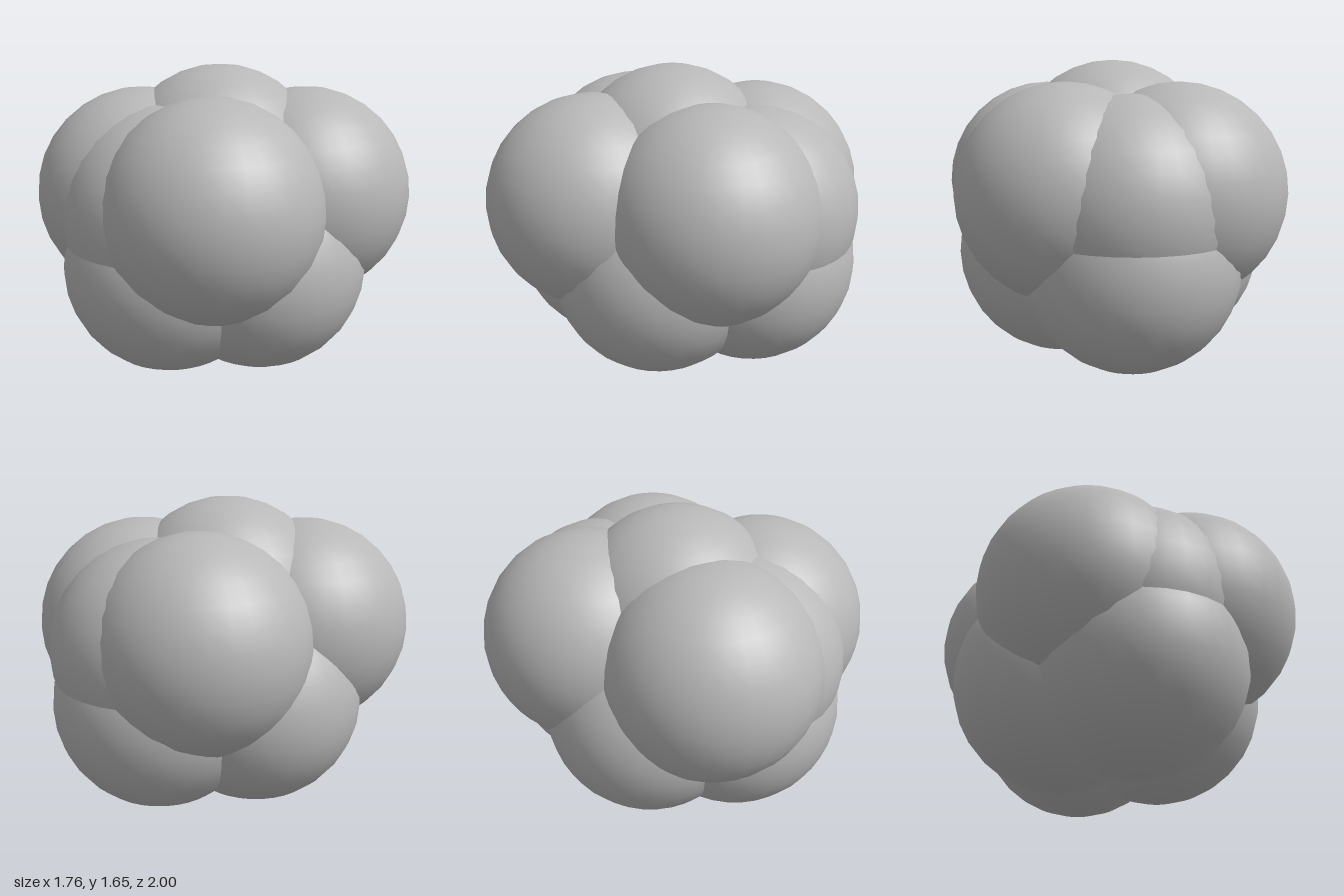
import * as THREE from 'three';

const RADIUS = 0.583;

// A cluster of equal, overlapping balls: [name, x, y, z]
const BALLS = [
  // lower ring
  ['lowerFrontBall', -0.03, 0.585, 0.415],
  ['lowerBackBall', -0.03, 0.585, -0.417],
  ['lowerLeftBall', 0.265, 0.585, 0.03],
  ['lowerRightBall', -0.3, 0.585, 0.03],
  // upper ring corners
  ['upperFrontLeftBall', 0.298, 0.945, 0.395],
  ['upperFrontRightBall', -0.298, 0.945, 0.395],
  ['upperBackLeftBall', 0.298, 0.945, -0.29],
  ['upperBackRightBall', -0.298, 0.945, -0.352],
  // upper ring middles
  ['upperFrontBall', -0.03, 0.885, 0.412],
  ['upperBackBall', -0.03, 0.885, -0.417],
  // crown
  ['topBall', -0.03, 1.067, 0.055],
];

export function createModel() {
  const group = new THREE.Group();
  group.name = 'ballCluster';
  const grey = new THREE.MeshStandardMaterial({ color: 0xb8b8b8 });
  grey.name = 'grey';
  const geometry = new THREE.SphereGeometry(RADIUS, 32, 16);
  for (const [name, x, y, z] of BALLS) {
    const ball = new THREE.Mesh(geometry, grey);
    ball.name = name;
    ball.position.set(x, y, z);
    group.add(ball);
  }
  return group;
}
